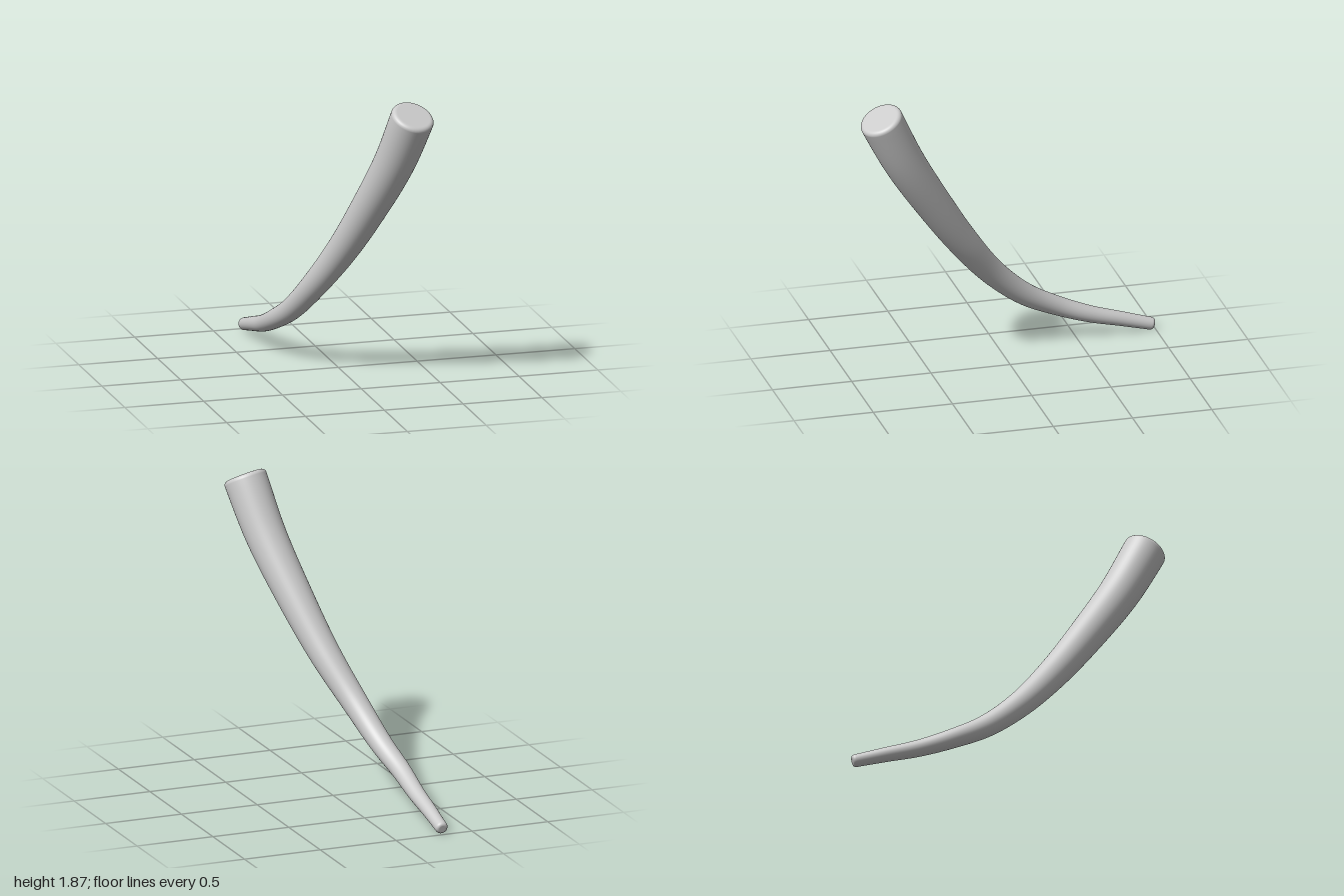
import * as THREE from 'three';
import { mergeVertices } from 'three/addons/utils/BufferGeometryUtils.js';

// Centre line stations from thin tip to thick end: x, y, z, radius
const STATIONS = [
  [-0.31, 0.038, -0.99, 0.039],
  [-0.31, 0.095, -0.785, 0.045],
  [-0.305, 0.152, -0.583, 0.052],
  [-0.295, 0.236, -0.37, 0.060],
  [-0.25, 0.353, -0.16, 0.069],
  [-0.177, 0.547, 0.058, 0.080],
  [-0.06, 0.825, 0.28, 0.096],
  [0.048, 1.14, 0.495, 0.112],
  [0.15, 1.485, 0.71, 0.126],
  [0.22, 1.82, 0.882, 0.135],
];

// Rounded rim of an end cap: radius fraction and distance inward along t
function capRows(depth, round) {
  const rows = [[0, 0], [(1 - round) * 0.5, 0], [(1 - round) * 0.96, 0]];
  for (let i = 0; i <= 6; i++) {
    const a = (i / 6) * Math.PI / 2;
    rows.push([1 - round + round * Math.sin(a), depth * (1 - Math.cos(a))]);
  }
  return rows;
}

// Unit lathe profile (radius fraction, t along the centre line)
function profile() {
  const tip = capRows(0.011, 0.45);
  const butt = capRows(0.008, 0.2);
  const pts = tip.map(([r, t]) => new THREE.Vector2(r, t));
  const n = 72;
  for (let i = 1; i < n; i++) pts.push(new THREE.Vector2(1, 0.011 + (i / n) * 0.981));
  butt.reverse().forEach(([r, t]) => pts.push(new THREE.Vector2(r, 1 - t)));
  return pts;
}

// Bend the lathe along the centre line, scaling each ring by its radius
function taperedTube() {
  const path = new THREE.CatmullRomCurve3(STATIONS.map(([x, y, z]) => new THREE.Vector3(x, y, z)));
  const radii = new THREE.SplineCurve(STATIONS.map((s, i) => new THREE.Vector2(i, s[3])));
  const geo = new THREE.LatheGeometry(profile(), 48);
  geo.deleteAttribute('uv');
  geo.deleteAttribute('normal');
  const pos = geo.attributes.position;
  const v = new THREE.Vector3();
  const xAxis = new THREE.Vector3(1, 0, 0);
  for (let i = 0; i < pos.count; i++) {
    v.fromBufferAttribute(pos, i);
    const t = THREE.MathUtils.clamp(v.y, 0, 1);
    const tangent = path.getTangent(t);
    const n = new THREE.Vector3().crossVectors(xAxis, tangent).normalize();
    const b = new THREE.Vector3().crossVectors(tangent, n);
    const r = radii.getPoint(t).y;
    const p = path.getPoint(t).addScaledVector(b, v.x * r).addScaledVector(n, v.z * r);
    pos.setXYZ(i, p.x, p.y, p.z);
  }
  const merged = mergeVertices(geo, 1e-5);
  merged.computeVertexNormals();
  return merged;
}

export function createModel() {
  const group = new THREE.Group();
  group.name = 'curvedHorn';
  const horn = new THREE.Mesh(
    taperedTube(),
    new THREE.MeshStandardMaterial({ color: 0xcccccc })
  );
  horn.name = 'taperedHorn';
  group.add(horn);
  return group;
}
